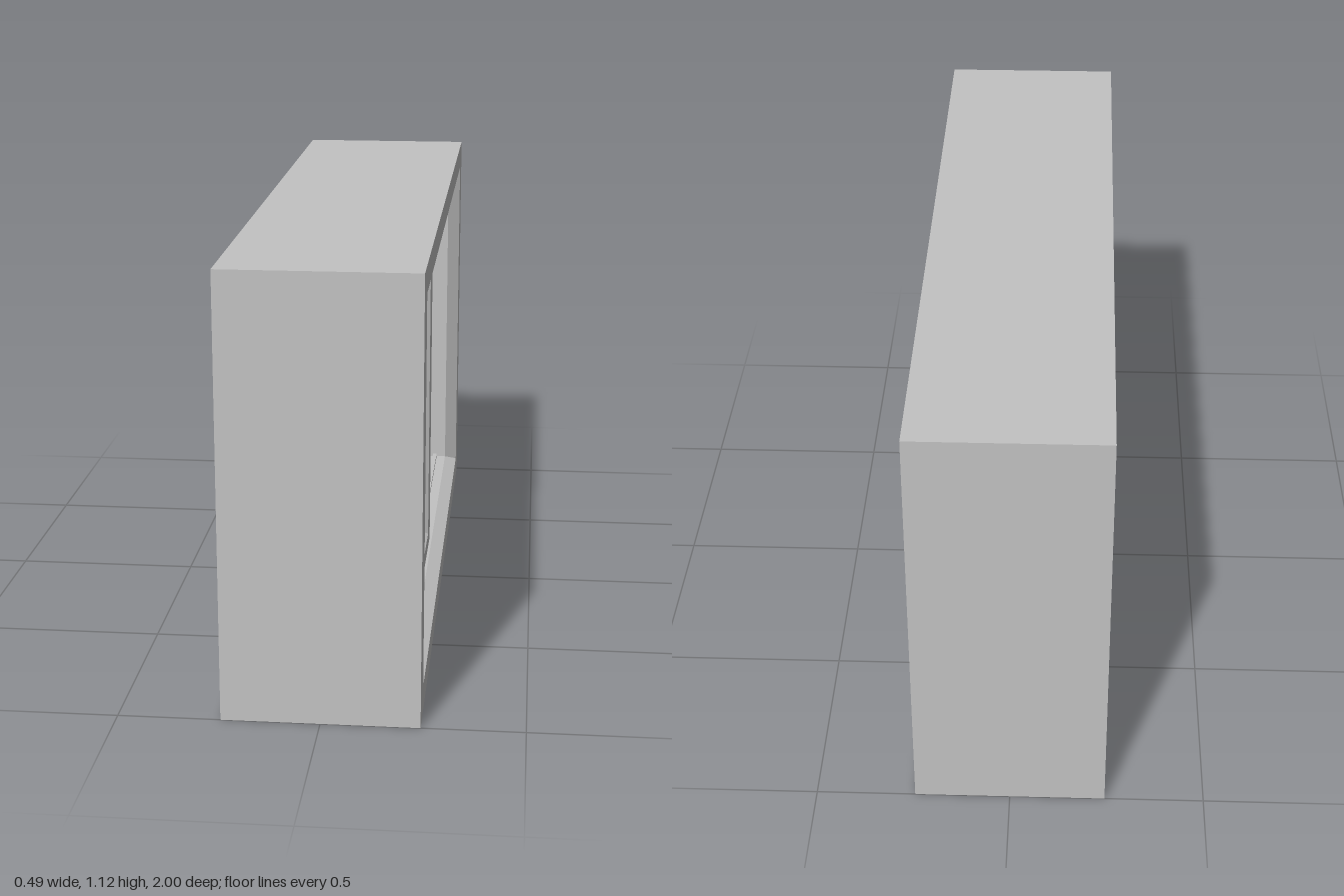
import * as THREE from 'three';

const grey = new THREE.MeshStandardMaterial({ color: 0xc2c2c2, side: THREE.DoubleSide });
grey.name = 'plainGrey';

// Rectangles are [zMin, zMax, yMin, yMax]; depth runs along x.
const corners = ([z0, z1, y0, y1]) => [[z0, y0], [z1, y0], [z1, y1], [z0, y1]];

// Rectangular slab with a rectangular hole, from x0 to x1
function ring(outer, inner, x0, x1) {
  const points = (r) => corners(r).map(([z, y]) => new THREE.Vector2(-z, y));
  const shape = new THREE.Shape(points(outer));
  shape.holes.push(new THREE.Path(points(inner)));
  const g = new THREE.ExtrudeGeometry(shape, { depth: x1 - x0, bevelEnabled: false });
  return g.rotateY(Math.PI / 2).translate(x0, 0, 0);
}

function block([z0, z1, y0, y1], x0, x1) {
  return new THREE.BoxGeometry(x1 - x0, y1 - y0, z1 - z0)
    .translate((x0 + x1) / 2, (y0 + y1) / 2, (z0 + z1) / 2);
}

// Four sloping faces between two rectangles at different depths
function slope(near, xNear, far, xFar) {
  const a = corners(near).map(([z, y]) => [xNear, y, z]);
  const b = corners(far).map(([z, y]) => [xFar, y, z]);
  const pos = [];
  for (let i = 0; i < 4; i++) {
    const j = (i + 1) % 4;
    const quad = xNear > xFar ? [a[i], b[i], b[j], a[i], b[j], a[j]]
      : [a[i], b[j], b[i], a[i], a[j], b[j]];
    pos.push(...quad.flat());
  }
  const g = new THREE.BufferGeometry();
  g.setAttribute('position', new THREE.Float32BufferAttribute(pos, 3));
  // Turn the faces towards the middle of the opening
  const p = g.attributes.position;
  const v = (i) => new THREE.Vector3().fromBufferAttribute(p, i);
  const n = v(1).sub(v(0)).cross(v(2).sub(v(0)));
  if (n.y < 0) {
    for (let i = 0; i < p.count; i += 3) {
      const s = v(i + 1), t = v(i + 2);
      p.setXYZ(i + 1, t.x, t.y, t.z);
      p.setXYZ(i + 2, s.x, s.y, s.z);
    }
  }
  g.computeVertexNormals();
  return g;
}

const shrink = ([z0, z1, y0, y1], d) => [z0 + d, z1 - d, y0 + d, y1 - d];

export function createModel() {
  const model = new THREE.Group();
  model.name = 'slidingWindow';
  const add = (parent, name, geometry) => {
    const m = new THREE.Mesh(geometry, grey);
    m.name = name;
    parent.add(m);
  };

  // Deep surround with a splayed front edge and a liner that holds the sashes
  const outer = [-1, 1, 0, 1.125];
  const opening = [-0.904, 0.904, 0.067, 1.057];
  const lining = [-0.872, 0.888, 0.083, 1.045];
  add(model, 'surround', ring(outer, opening, -0.245, 0.245));
  add(model, 'liner', ring(shrink(opening, -0.01), lining, 0.07, 0.21));
  add(model, 'splayedEdge', slope(opening, 0.245, lining, 0.21));
  add(model, 'rearJamb', block([0.825, 0.904, 0.075, 1.05], 0.07, 0.105));

  // Guide rails, above and below each empty track
  for (const [y0, y1] of [[0.08, 0.092], [1.037, 1.048]]) {
    add(model, 'frontRail', block([-0.875, -0.09, y0, y1], 0.17, 0.182));
    add(model, 'rearRail', block([0.09, 0.83, y0, y1], 0.09, 0.102));
  }

  // Sash: frame, bevels on both faces, pane and flush pull
  function sash(name, frame, hole, x0, x1, pullZ) {
    const group = new THREE.Group();
    group.name = name;
    const pane = shrink(hole, 0.015);
    const mid = (x0 + x1) / 2;
    add(group, 'sashFrame', ring(frame, hole, x0, x1));
    add(group, 'frontBevel', slope(hole, x1, pane, mid + 0.004));
    add(group, 'rearBevel', slope(hole, x0, pane, mid - 0.004));
    add(group, 'pane', block(shrink(hole, 0.01), mid - 0.004, mid + 0.004));
    const plate = [pullZ - 0.03, pullZ + 0.03, 0.465, 0.665];
    const slot = [pullZ - 0.014, pullZ + 0.014, 0.505, 0.625];
    add(group, 'pullPlate', ring(plate, slot, x1 - 0.002, x1 + 0.003));
    model.add(group);
  }
  sash('frontSash', [-0.096, 0.888, 0.083, 1.045], [-0.01, 0.805, 0.125, 1.008], 0.148, 0.203, 0.85);
  sash('rearSash', [-0.872, 0.1, 0.083, 1.045], [-0.79, 0.014, 0.125, 1.008], 0.075, 0.132, -0.83);

  return model;
}
